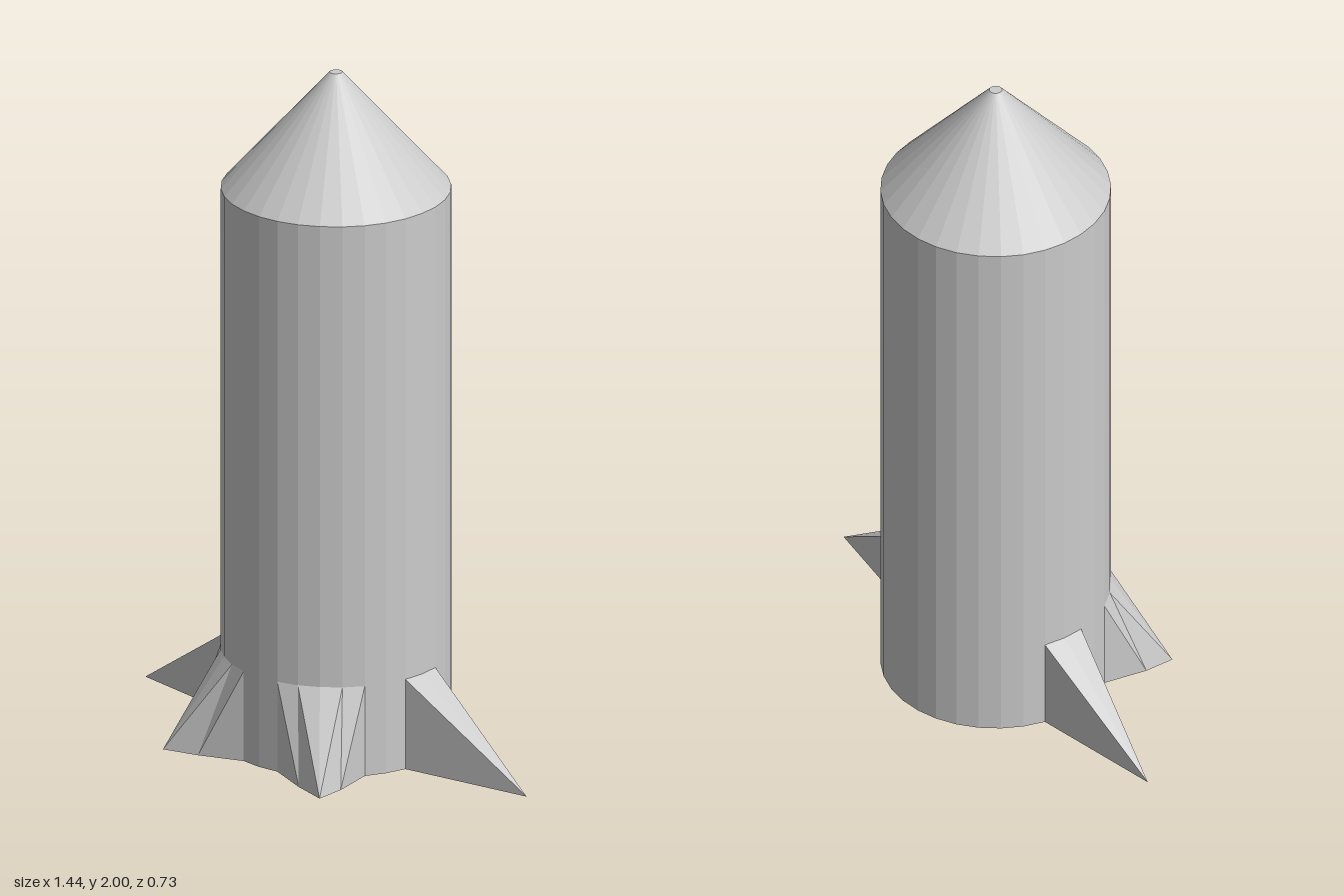
import * as THREE from 'three';

const SIDES = 32;
const RADIUS = 0.325;
const BASE_TOP = 0.27;
const BODY_TOP = 1.655;

// Outward pull [dx, dz] of the bottom ring's corners, by corner index (0 = +x, 8 = +z)
const PULL = { 0: [0.395, 0], 4: [0.065, 0.08], 5: [0.115, 0.13], 6: [0.066, 0.07] };

// Mirror the pulls across x = 0
function pullAt(i) {
  if (PULL[i]) return PULL[i];
  const mirrored = PULL[(SIDES / 2 - i + SIDES) % SIDES];
  return mirrored ? [-mirrored[0], mirrored[1]] : [0, 0];
}

// Lower hull whose bottom corners are drawn out into fins
function finnedBaseGeometry() {
  const corner = (i) => {
    const k = i % SIDES;
    const a = (k / SIDES) * Math.PI * 2;
    const [dx, dz] = pullAt(k);
    const x = RADIUS * Math.cos(a);
    const z = RADIUS * Math.sin(a);
    return { top: [x, BASE_TOP, z], bottom: [x + dx, 0, z + dz], pull: Math.hypot(dx, dz) };
  };
  const points = [];
  for (let i = 0; i < SIDES; i++) {
    const a = corner(i);
    const b = corner(i + 1);
    // The quad's diagonal starts at the corner that is pulled out further
    if (a.pull > b.pull) points.push(a.bottom, b.top, b.bottom, a.bottom, a.top, b.top);
    else points.push(b.bottom, a.bottom, a.top, b.bottom, a.top, b.top);
    // Underside
    points.push([0, 0, 0], a.bottom, b.bottom);
  }
  const geometry = new THREE.BufferGeometry();
  geometry.setAttribute('position', new THREE.Float32BufferAttribute(points.flat(), 3));
  geometry.computeVertexNormals();
  return geometry;
}

export function createModel() {
  const group = new THREE.Group();
  group.name = 'rocket';
  const material = new THREE.MeshStandardMaterial({ color: 0xcccccc, flatShading: true });

  const add = (name, geometry, y) => {
    const mesh = new THREE.Mesh(geometry, material);
    mesh.name = name;
    mesh.position.set(0, y, -0.0375);
    group.add(mesh);
  };

  // Base with two side fins and two front fins
  add('finnedBase', finnedBaseGeometry(), 0);

  // Straight hull
  const hullHeight = BODY_TOP - BASE_TOP;
  add('hull', new THREE.CylinderGeometry(RADIUS, RADIUS, hullHeight, SIDES, 1, true), BASE_TOP + hullHeight / 2);

  // Nose cone with a small flat tip
  const noseHeight = 2 - BODY_TOP;
  add('noseCone', new THREE.CylinderGeometry(0.018, RADIUS, noseHeight, SIDES), BODY_TOP + noseHeight / 2);

  return group;
}
